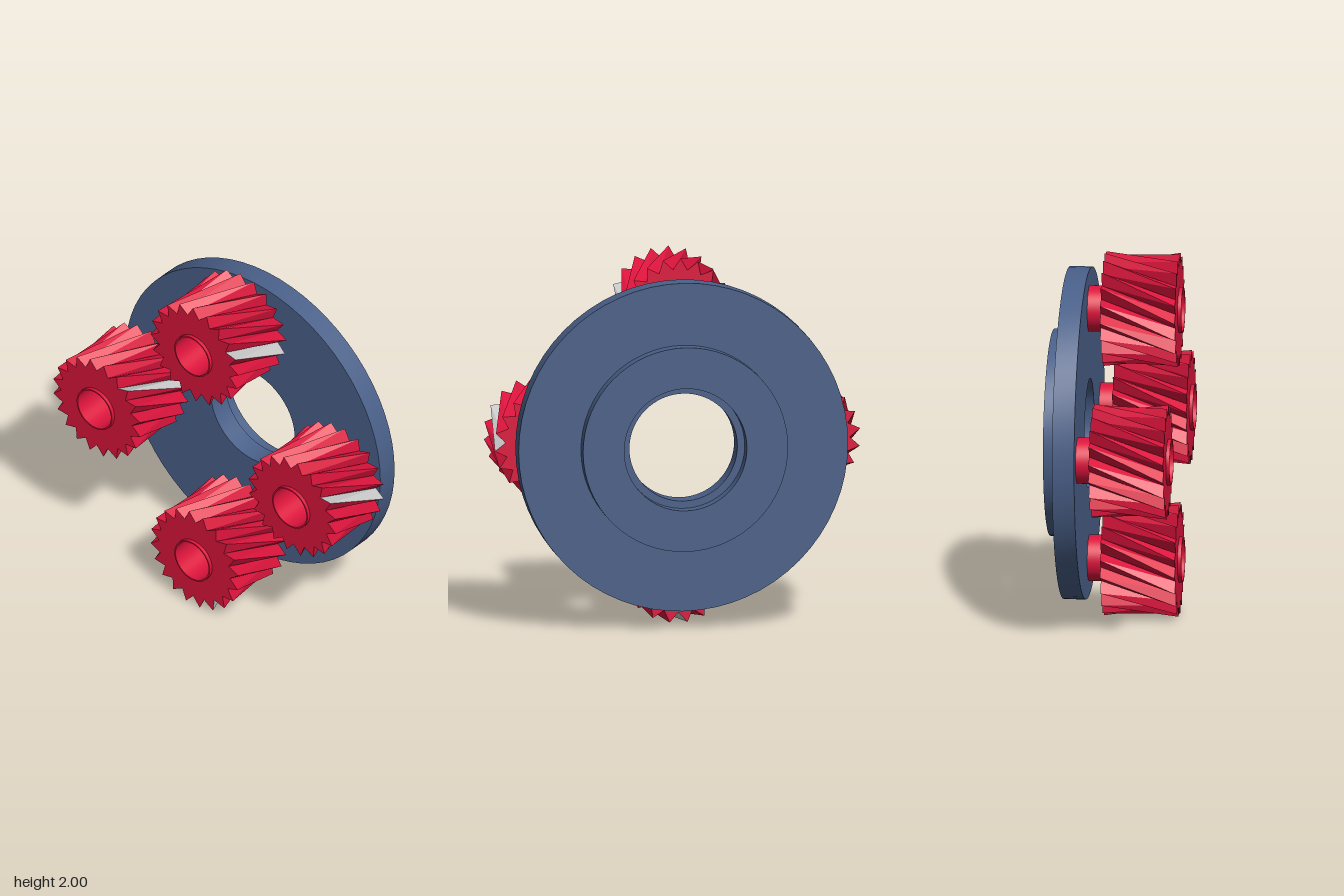
import * as THREE from 'three';
import { mergeGeometries, toCreasedNormals } from 'three/addons/utils/BufferGeometryUtils.js';

const blue = new THREE.MeshStandardMaterial({ color: 0x4a6089 });
const red = new THREE.MeshStandardMaterial({ color: 0xdc143c });
const grey = new THREE.MeshStandardMaterial({ color: 0xcccccc });

const TEETH = 20, TIP = 0.31, ROOT = 0.25, BORE = 0.122;
const FRONT = 0.335, BACK = -0.07, TWIST = -35 * Math.PI / 180;

function mesh(name, geometry, material) {
  const m = new THREE.Mesh(geometry, material);
  m.name = name;
  return m;
}

// Flat ring between two radii, running from z0 to z1
function ring(outer, inner, z0, z1) {
  const shape = new THREE.Shape().absarc(0, 0, outer, 0, Math.PI * 2);
  shape.holes.push(new THREE.Path().absarc(0, 0, inner, 0, Math.PI * 2, true));
  const geo = new THREE.ExtrudeGeometry(shape, { depth: z1 - z0, bevelEnabled: false, curveSegments: 32 });
  geo.translate(0, 0, z0);
  return toCreasedNormals(geo, 0.5);
}

// Point i of the saw-tooth outline: even = tip, odd = root
function toothPoint(i, turn = 0) {
  const r = i % 2 ? ROOT : TIP, a = i * Math.PI / TEETH + turn;
  return new THREE.Vector2(r * Math.cos(a), r * Math.sin(a));
}

// Twisted tooth flanks number first..last
function flanks(first, last) {
  const pos = [];
  const put = (i, back) => {
    const p = toothPoint(i, back ? TWIST : 0);
    pos.push(p.x, p.y, back ? BACK : FRONT);
  };
  for (let i = first; i <= last; i++) {
    put(i, false); put(i, true); put(i + 1, true);
    put(i, false); put(i + 1, true); put(i + 1, false);
  }
  const geo = new THREE.BufferGeometry();
  geo.setAttribute('position', new THREE.Float32BufferAttribute(pos, 3));
  geo.computeVertexNormals();
  return geo;
}

// Front and back faces of the gear
function gearFaces() {
  const outline = Array.from({ length: TEETH * 2 }, (_, i) => toothPoint(i));
  const shape = new THREE.Shape(outline);
  shape.holes.push(new THREE.Path().absarc(0, 0, BORE, 0, Math.PI * 2, true));
  const front = new THREE.ShapeGeometry(shape, 24);
  const back = front.clone();
  front.translate(0, 0, FRONT);
  // The outline is symmetric about x, so half a turn about x makes it face backwards
  back.rotateX(Math.PI).rotateZ(TWIST).translate(0, 0, BACK);
  return mergeGeometries([front, back]);
}

export function createModel() {
  const model = new THREE.Group();
  model.name = 'planetCarrier';

  // Carrier plate with a raised boss on its back
  const carrier = new THREE.Group();
  carrier.name = 'carrier';
  carrier.position.y = 1;
  carrier.add(
    mesh('plate', ring(0.9, 0.295, -0.275, -0.155), blue),
    mesh('boss', ring(0.56, 0.335, -0.355, -0.275), blue),
  );
  model.add(carrier);

  // Four helical gears: direction on the plate, own rotation in degrees
  const faces = gearFaces(), plain = flanks(0, 0), teeth = flanks(1, TEETH * 2 - 1);
  const hub = ring(0.125, 0.117, -0.155, 0.355);
  const gears = [
    ['leftGear', 1, 0, 29], ['topGear', 0, 1, 20],
    ['rightGear', -1, 0, 45], ['bottomGear', 0, -1, -65],
  ];
  for (const [name, dx, dy, deg] of gears) {
    const gear = new THREE.Group();
    gear.name = name;
    gear.position.set(dx * 0.69, 1 + dy * 0.69, 0);
    gear.rotation.z = deg * Math.PI / 180;
    gear.add(
      mesh('gearFaces', faces, red),
      mesh('gearTeeth', teeth, red),
      mesh('plainFlank', plain, grey),
      mesh('hub', hub, red),
    );
    model.add(gear);
  }
  return model;
}
